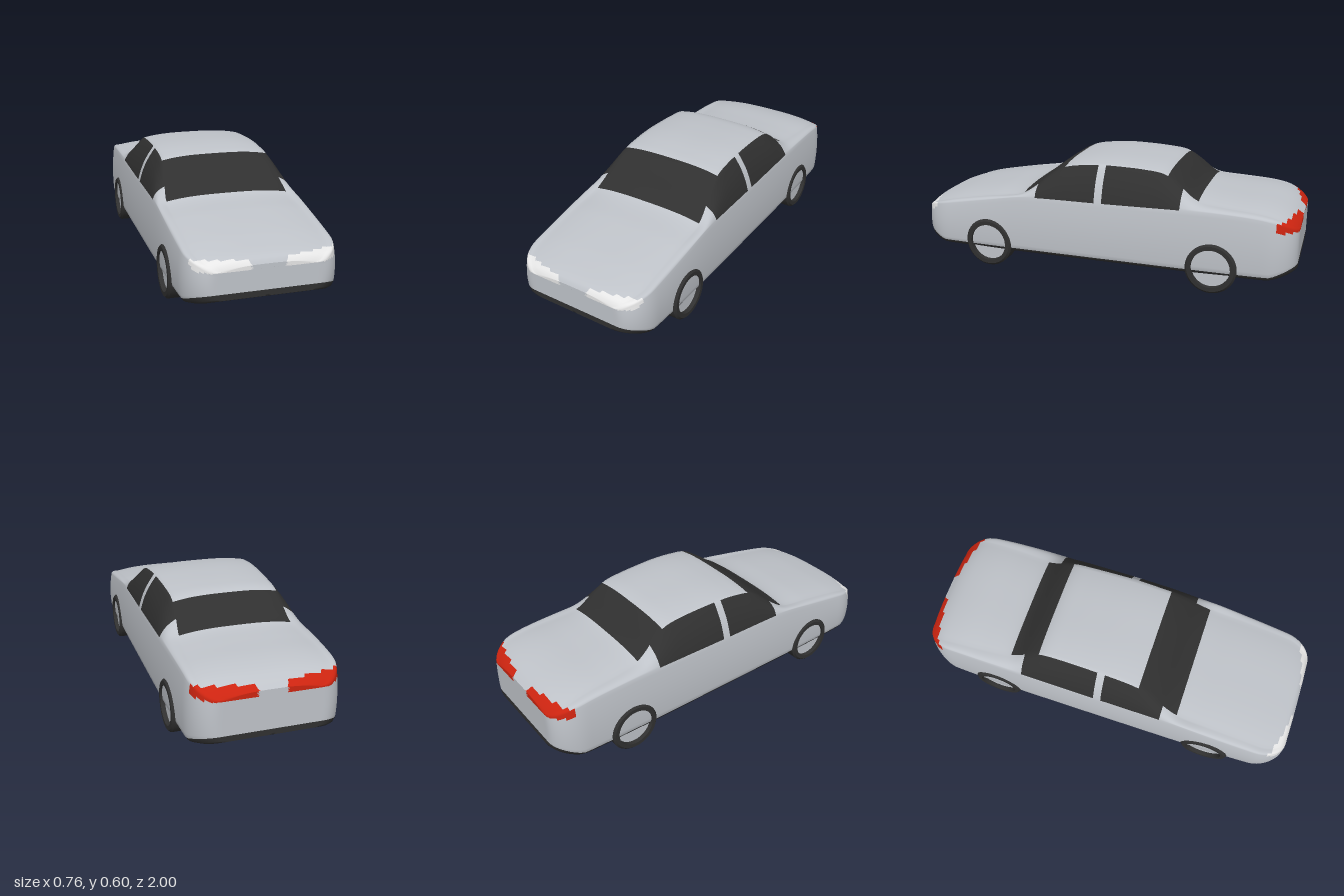
import * as THREE from 'three';
import { mergeVertices, toCreasedNormals } from 'three/addons/utils/BufferGeometryUtils.js';

const paint = (name, color) => {
  const m = new THREE.MeshStandardMaterial({ color });
  m.name = name;
  return m;
};

// smooth curve through [z, value] points listed from front to back
function curve(points) {
  const n = points.length;
  const slope = points.map((p, i) => {
    const a = points[Math.max(i - 1, 0)], b = points[Math.min(i + 1, n - 1)];
    return (b[1] - a[1]) / (b[0] - a[0]);
  });
  return z => {
    let i = 0;
    while (i < n - 2 && z < points[i + 1][0]) i++;
    const [z0, v0] = points[i], [z1, v1] = points[i + 1];
    const h = z1 - z0, t = THREE.MathUtils.clamp((z - z0) / h, 0, 1), u = 1 - t;
    return v0 * (1 + 2 * t) * u * u + slope[i] * h * t * u * u
      + v1 * t * t * (3 - 2 * t) - slope[i + 1] * h * t * t * u;
  };
}

// centre line, shoulder, floor, and upper edge of the glasshouse
const topY = curve([[1, .285], [.985, .307], [.95, .322], [.9, .336], [.8, .36], [.6, .395], [.43, .42],
  [.36, .458], [.28, .522], [.2, .572], [.1, .592], [0, .6], [-.1, .6], [-.23, .594], [-.33, .58],
  [-.4, .54], [-.48, .476], [-.53, .456], [-.65, .444], [-.8, .434], [-.9, .415], [-.96, .39], [-1, .36]]);
const shoulderY = curve([[1, .255], [.97, .28], [.9, .305], [.75, .335], [.6, .363], [.43, .393], [.3, .4],
  [0, .403], [-.43, .41], [-.6, .41], [-.8, .398], [-.9, .378], [-1, .325]]);
const floorY = curve([[1, .135], [.96, .115], [.9, .095], [.85, .088], [0, .088], [-.85, .088],
  [-.9, .095], [-.96, .115], [-1, .135]]);
const edgeX = curve([[1, .31], [.41, .31], [.33, .3], [.19, .28], [0, .275], [-.35, .27], [-.51, .285], [-.7, .3], [-1, .31]]);
const END = .85;
function halfWidth(z) {
  const a = Math.abs(z), k = Math.max(0, (a - END) / (1 - END));
  return .375 - .018 * Math.pow(a, 4) - .11 * (1 - Math.sqrt(Math.max(0, 1 - k * k)));
}
const trimY = z => .112 + .052 * THREE.MathUtils.clamp((Math.abs(z) - .88) / .12, 0, 1);

// right-angled half section from floor centre up to roof centre
const TRIM = 4, SHOULDER = TRIM + 14, EDGE = SHOULDER + 8, LAST = EDGE + 14;
function halfSection(z) {
  const w = halfWidth(z), b = floorY(z), t = topY(z), s = shoulderY(z), y0 = trimY(z);
  const sx = w * .962, ex = Math.min(edgeX(z), sx * .89), ey = t - .02;
  const pts = [[0, b], [w * .5, b], [w * .88, b], [w * .955, b + .3 * (y0 - b)], [w * .985, y0]];
  for (let i = 1; i <= 14; i++) {
    const k = i / 14;
    pts.push([w * (.985 + .06 * k - .083 * k * k), y0 + (s - y0) * k]);
  }
  for (let i = 1; i <= 8; i++) {
    const k = i / 8, bulge = .01 * Math.sin(Math.PI * k);
    pts.push([sx + (ex - sx) * k + bulge, s + (ey - s) * k + bulge * .5]);
  }
  for (let i = 1; i <= 14; i++) {
    const k = 1 - i / 14;
    pts.push([ex * k, ey + (t - ey) * (1 - k * k * k)]);
  }
  return pts;
}

function buildBody(materials) {
  const positions = [], faces = { bodyShell: [], windows: [], lowerTrim: [], headlights: [], taillights: [] };

  // stations: even along the sides, bunched at the rounded ends
  const stations = [];
  for (let k = 10; k > 0; k--) stations.push(END + (1 - END) * Math.sin(k / 10 * Math.PI / 2));
  for (let k = 85; k >= -85; k -= 2) stations.push(k / 100);
  for (let k = 1; k <= 10; k++) stations.push(-END - (1 - END) * Math.sin(k / 10 * Math.PI / 2));

  const between = (z, lo, hi) => z > lo && z < hi;
  function part(row, x, y, z) {
    if (row < TRIM) return 'lowerTrim';
    if (row >= EDGE && (between(z, .19, .41) || between(z, -.51, -.35))) return 'windows';
    if (row >= SHOULDER && row < EDGE && (between(z, .01, .33) || between(z, -.43, -.03))) return 'windows';
    const ax = Math.abs(x);
    if (z > .92 && ax > .08 && ax < .335 && between(y, .264, .308)) return 'headlights';
    if (z < -.9 && ax > .07 && between(y, .333, .383)) return 'taillights';
    return 'bodyShell';
  }
  // grid of points; rowOf gives the section row of each column
  function addGrid(grid, rowOf, flip) {
    const start = positions.length / 3, cols = grid[0].length;
    grid.forEach(line => line.forEach(p => positions.push(...p)));
    for (let j = 0; j + 1 < grid.length; j++) {
      for (let i = 0; i + 1 < cols; i++) {
        const four = [grid[j][i], grid[j + 1][i], grid[j][i + 1], grid[j + 1][i + 1]];
        const mid = [0, 1, 2].map(c => four.reduce((sum, p) => sum + p[c], 0) / 4);
        const a = start + j * cols + i, b = a + cols, c = a + 1, d = b + 1;
        faces[part(rowOf(i), ...mid)].push(...(flip ? [a, c, b, b, c, d] : [a, b, c, b, d, c]));
      }
    }
  }

  // shell
  addGrid(stations.map(z => {
    const half = halfSection(z);
    const other = half.slice(0, -1).reverse().map(([x, y]) => [-x, y]);
    return [...half, ...other].map(([x, y]) => [x, y, z]);
  }), i => (i < LAST ? i : 2 * LAST - 1 - i), false);

  // nose and tail faces
  for (const z of [1, -1]) {
    const half = halfSection(z), grid = [];
    for (let j = 0; j <= 28; j++) grid.push(half.map(([x, y]) => [x * (j / 14 - 1), y, z]));
    addGrid(grid, i => i, z < 0);
  }

  // one smooth surface, divided into painted parts
  const all = Object.values(faces).flat();
  let surface = new THREE.BufferGeometry();
  surface.setAttribute('position', new THREE.Float32BufferAttribute(positions, 3));
  surface.setIndex(all);
  surface = mergeVertices(surface, 1e-5);
  surface.computeVertexNormals();
  const merged = Array.from(surface.index.array);
  const body = new THREE.Group();
  body.name = 'body';
  let offset = 0;
  for (const [name, list] of Object.entries(faces)) {
    const g = new THREE.BufferGeometry();
    g.setAttribute('position', surface.attributes.position);
    g.setAttribute('normal', surface.attributes.normal);
    g.setIndex(merged.slice(offset, offset + list.length));
    offset += list.length;
    const mesh = new THREE.Mesh(g, materials[name]);
    mesh.name = name;
    body.add(mesh);
  }
  return body;
}

function buildWheel(name, side, z, dark, silver) {
  const wheel = new THREE.Group();
  wheel.name = name;
  const profile = [[0, -.02], [.096, -.02], [.098, -.046], [.118, -.046], [.129, -.036], [.129, .036],
    [.118, .047], [.098, .047], [.096, .015]].map(([r, y]) => new THREE.Vector2(r, y));
  const tyre = new THREE.Mesh(toCreasedNormals(new THREE.LatheGeometry(profile, 40), .6), dark);
  tyre.name = 'tyre';
  const hub = new THREE.Mesh(new THREE.CylinderGeometry(.097, .097, .03, 40), silver);
  hub.name = 'hubDisc';
  hub.position.y = .01;
  wheel.add(tyre, hub);
  wheel.rotation.z = -side * Math.PI / 2;
  wheel.position.set(side * .333, .13, z);
  return wheel;
}

export function createModel() {
  const silver = paint('silver paint', 0xbfc3c9);
  const dark = paint('dark glass and rubber', 0x303030);
  const white = paint('headlight white', 0xe6e6e6);
  const red = paint('taillight red', 0xcc2410);

  const car = new THREE.Group();
  car.name = 'saloonCar';
  car.add(buildBody({ bodyShell: silver, windows: dark, lowerTrim: dark, headlights: white, taillights: red }));
  for (const side of [1, -1]) {
    const label = side > 0 ? 'Left' : 'Right';
    car.add(buildWheel('front' + label + 'Wheel', side, .6, dark, silver));
    car.add(buildWheel('rear' + label + 'Wheel', side, -.595, dark, silver));
  }
  return car;
}
